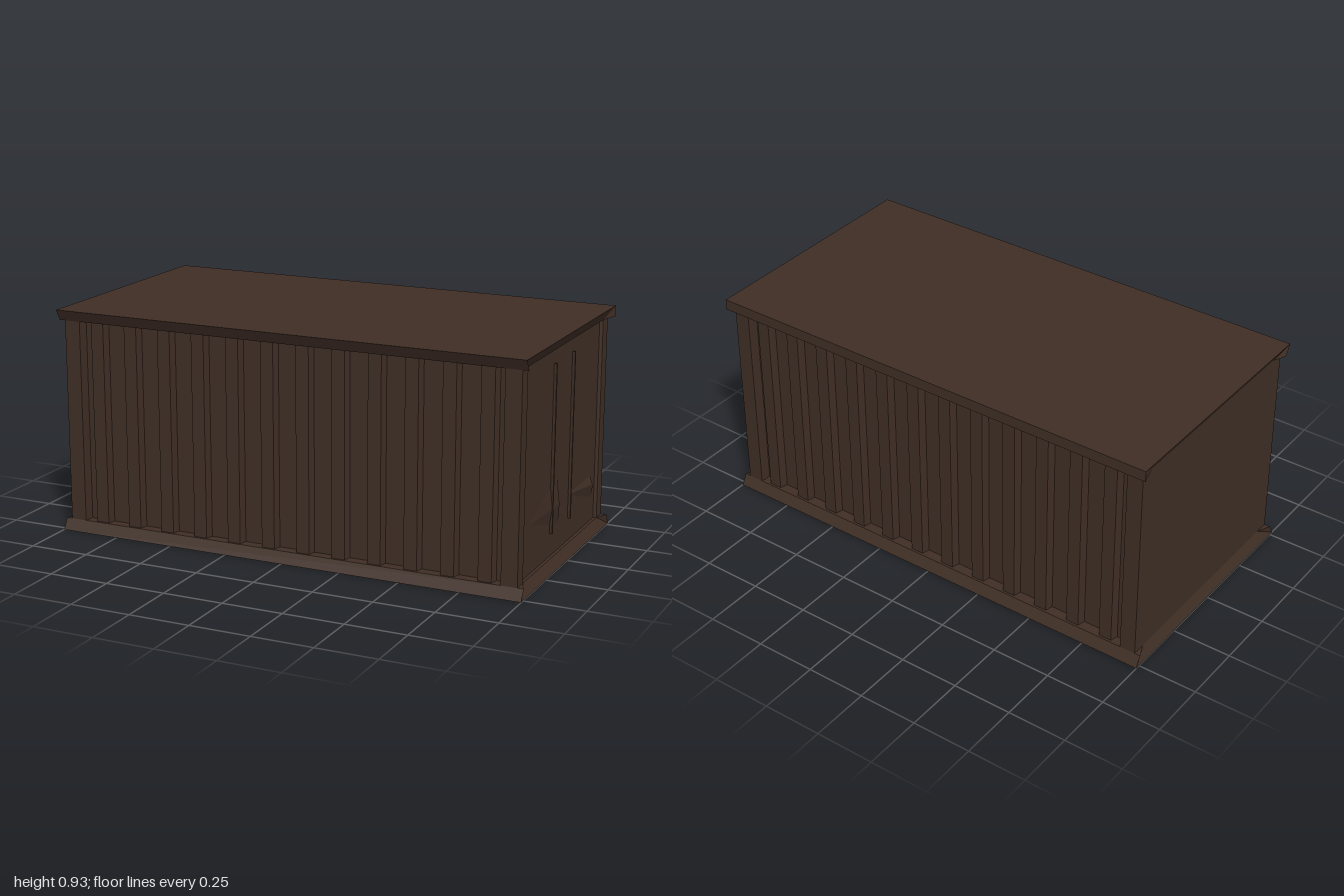
import * as THREE from 'three';
import { ConvexGeometry } from 'three/addons/geometries/ConvexGeometry.js';

const HALF_X = 1, HALF_Z = 0.52, HEIGHT = 0.925, RAIL = 0.045;
const WALL_X = 0.975, WALL_Z = 0.495, POST_Z = 0.437, DOOR_X = 0.962;

// Flat polygons turned to face away from a centre point
function facesGeometry(faces, centre) {
  const pos = [];
  for (const face of faces) {
    const p = face.map((v) => new THREE.Vector3(...v));
    const normal = p[1].clone().sub(p[0]).cross(p[2].clone().sub(p[0]));
    if (normal.dot(p[0].clone().sub(centre)) < 0) p.reverse();
    for (let i = 1; i < p.length - 1; i++) {
      for (const v of [p[0], p[i], p[i + 1]]) pos.push(v.x, v.y, v.z);
    }
  }
  const g = new THREE.BufferGeometry();
  g.setAttribute('position', new THREE.Float32BufferAttribute(pos, 3));
  g.computeVertexNormals();
  return g;
}

// Flared slab: wide at its outer face, narrowing toward the walls
function railGeometry(outerY, innerY, backZ) {
  const innerZ = (s) => (s > 0 ? WALL_Z : backZ);
  const a = (sx, sz) => [sx * HALF_X, outerY, sz * HALF_Z];
  const b = (sx, sz) => [sx * HALF_X, innerY, sz * innerZ(sz)];
  const c = (sx, sz) => [sx * WALL_X, innerY, sz * POST_Z];
  const faces = [
    [a(-1, -1), a(1, -1), a(1, 1), a(-1, 1)],
    [c(-1, -1), c(1, -1), c(1, 1), c(-1, 1)],
  ];
  for (const s of [-1, 1]) {
    faces.push([a(-1, s), a(1, s), b(1, s), b(-1, s)]); // long edge
    faces.push([a(s, -1), a(s, 1), c(s, 1), c(s, -1)]); // short edge
    faces.push([b(-1, s), b(1, s), c(1, s), c(-1, s)]); // inner lip
    for (const t of [-1, 1]) faces.push([a(s, t), b(s, t), c(s, t)]); // corner
  }
  return facesGeometry(faces, new THREE.Vector3(0, (outerY + innerY) / 2, 0));
}

// Plan outline with corner posts, corrugated sides and a recessed door end
function bodyGeometry() {
  const valley = 0.452, ridge = 0.485, pitch = 0.152;
  const side = [[-WALL_X, WALL_Z], [-0.908, WALL_Z], [-0.903, valley]];
  for (let i = 0; i < 12; i++) {
    const x = -0.868 + i * pitch;
    side.push([x, valley], [x + 0.008, ridge], [x + 0.063, ridge], [x + 0.071, valley]);
  }
  side.push([0.903, valley], [0.908, WALL_Z], [WALL_X, WALL_Z], [WALL_X, POST_Z], [DOOR_X, POST_Z - 0.005]);
  const mirrored = side.map(([x, z]) => [x, -z]).reverse();
  const shape = new THREE.Shape([...side, ...mirrored].map(([x, z]) => new THREE.Vector2(x, z)));
  const g = new THREE.ExtrudeGeometry(shape, { depth: HEIGHT - 2 * RAIL, bevelEnabled: false });
  g.rotateX(-Math.PI / 2);
  g.translate(0, RAIL, 0);
  return g;
}

export function createModel() {
  const group = new THREE.Group();
  const brown = new THREE.MeshStandardMaterial({ color: 0x3f2e25 });
  brown.name = 'dark brown';

  const add = (name, geometry) => {
    const mesh = new THREE.Mesh(geometry, brown);
    mesh.name = name;
    group.add(mesh);
    return mesh;
  };

  add('corrugatedBody', bodyGeometry());
  add('bottomRail', railGeometry(0, RAIL, WALL_Z));
  add('roof', railGeometry(HEIGHT, HEIGHT - RAIL, HALF_Z));

  // Door lock rods
  for (const z of [-0.107, 0.107]) {
    add('lockRod', new THREE.BoxGeometry(0.012, 0.68, 0.01)).position.set(DOOR_X + 0.005, 0.48, z);
  }

  // Shallow wedge handles, given as [height, z] with a raised apex
  const handles = [
    { base: [[0.245, 0.38], [0.36, 0.04], [0.15, 0.012], [0.15, 0.028]], apex: [0.24, 0.035] },
    { base: [[0.245, -0.05], [0.245, -0.375], [0.15, -0.41], [0.15, -0.36]], apex: [0.205, -0.375] },
  ];
  for (const { base, apex } of handles) {
    const points = base.map(([y, z]) => new THREE.Vector3(DOOR_X - 0.001, y, z));
    points.push(new THREE.Vector3(DOOR_X + 0.012, ...apex));
    add('doorHandle', new ConvexGeometry(points));
  }

  return group;
}
